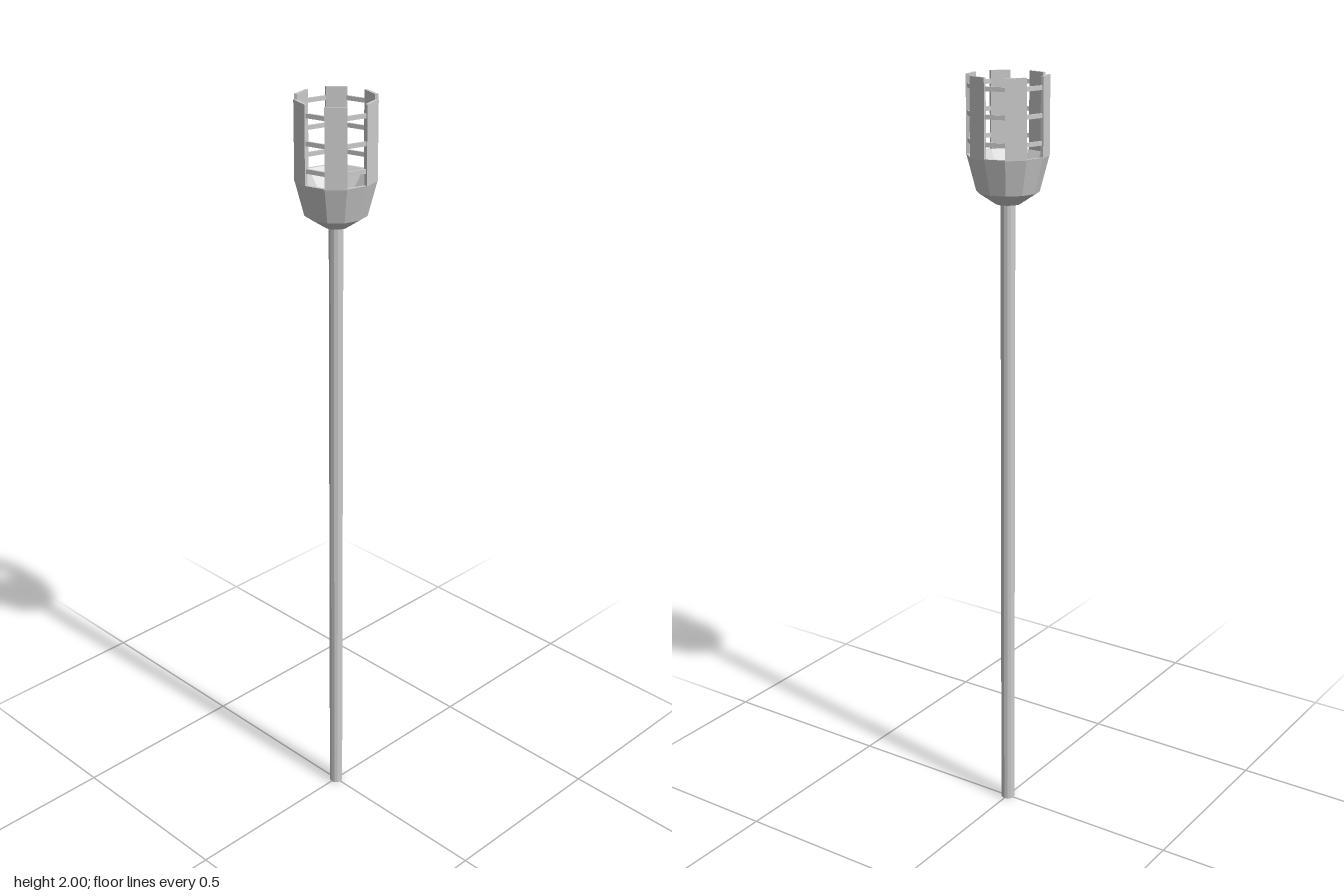
import * as THREE from 'three';

const SIDES = 12;
const STEP = (Math.PI * 2) / SIDES;

export function createModel() {
  const group = new THREE.Group();
  const material = new THREE.MeshStandardMaterial({ color: 0xcccccc, flatShading: true });

  const add = (name, geometry) => {
    const mesh = new THREE.Mesh(geometry, material);
    mesh.name = name;
    group.add(mesh);
  };

  // One straight wall piece filling face i of the twelve-sided ring
  const wallPiece = (i, inner, outer, bottom, height) => {
    const corner = (r, k) => new THREE.Vector2(r * Math.sin(k * STEP), -r * Math.cos(k * STEP));
    const shape = new THREE.Shape([
      corner(inner, i), corner(outer, i), corner(outer, i + 1), corner(inner, i + 1),
    ]);
    const geometry = new THREE.ExtrudeGeometry(shape, { depth: height, bevelEnabled: false });
    geometry.rotateX(-Math.PI / 2);
    geometry.translate(0, bottom, 0);
    return geometry;
  };

  // Long pole, its flat top showing at the bottom of the bowl
  const pole = new THREE.CylinderGeometry(0.0185, 0.0185, 1.71, SIDES);
  pole.translate(0, 0.855, 0);
  add('pole', pole);

  // Faceted bowl: outer wall upward, lip, then the inner cone down to the pole
  const profile = [
    [0.018, 1.683], [0.032, 1.685], [0.079, 1.716], [0.103, 1.807],
    [0.095, 1.807], [0.018, 1.708],
  ].map(([r, y]) => new THREE.Vector2(r, y));
  add('bowl', new THREE.LatheGeometry(profile, SIDES));

  // Upright staves on every other face, thin crossbars on the faces between
  for (let i = 0; i < SIDES; i += 2) {
    add('stave', wallPiece(i, 0.095, 0.103, 1.805, 0.195));
    for (const y of [1.836, 1.902, 1.968]) {
      add('crossbar', wallPiece(i + 1, 0.095, 0.1, y, 0.011));
    }
  }

  return group;
}
